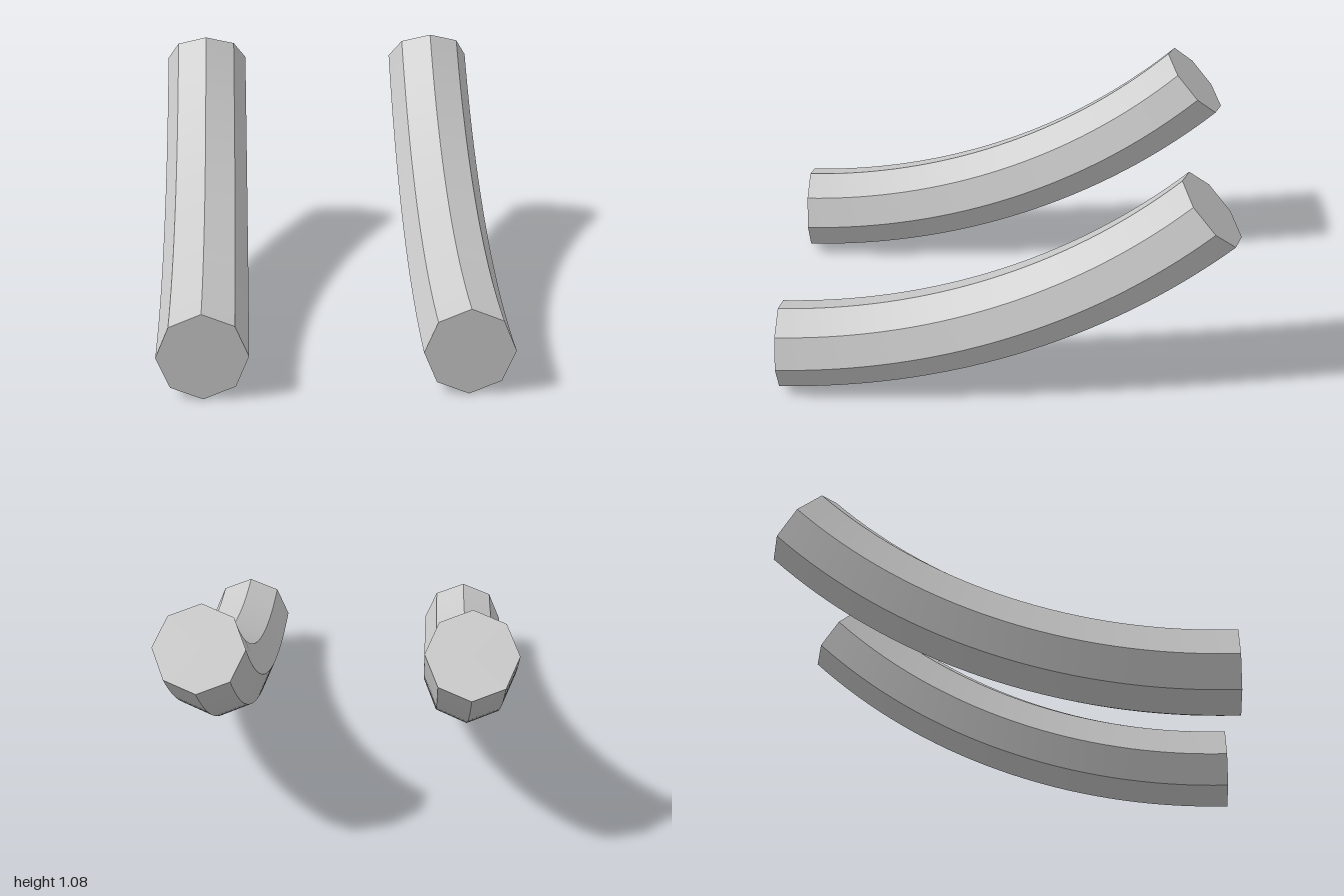
import * as THREE from 'three';
import { toCreasedNormals } from 'three/addons/utils/BufferGeometryUtils.js';

const TUBE_RADIUS = 0.192;
const BEND_RADIUS = 2.692;
const BEND_ANGLE = THREE.MathUtils.degToRad(43.9);
const START_Y = 0.195; // height of the tube's centre line at its front end
const SPACING = 0.552; // distance of each bar from the middle

// Octagonal bar bent along a circular arc: level at the front, rising to the back
function bentBar() {
  const cylinder = new THREE.CylinderGeometry(TUBE_RADIUS, TUBE_RADIUS, 1, 8, 32);
  const pos = cylinder.attributes.position;
  for (let i = 0; i < pos.count; i++) {
    const angle = (pos.getY(i) + 0.5) * BEND_ANGLE;
    const reach = BEND_RADIUS - pos.getZ(i);
    pos.setY(i, START_Y + BEND_RADIUS - reach * Math.cos(angle));
    pos.setZ(i, 1 - reach * Math.sin(angle));
  }
  // smooth along the bend, sharp between the eight sides and at the ends
  return toCreasedNormals(cylinder, Math.PI / 6);
}

export function createModel() {
  const model = new THREE.Group();
  model.name = 'curvedBars';
  const material = new THREE.MeshStandardMaterial({ color: 0xcccccc });
  const geometry = bentBar();

  // Matching pair, left and right
  for (const [name, side] of [['leftBar', 1], ['rightBar', -1]]) {
    const bar = new THREE.Mesh(geometry, material);
    bar.name = name;
    bar.position.x = side * SPACING;
    model.add(bar);
  }
  return model;
}
